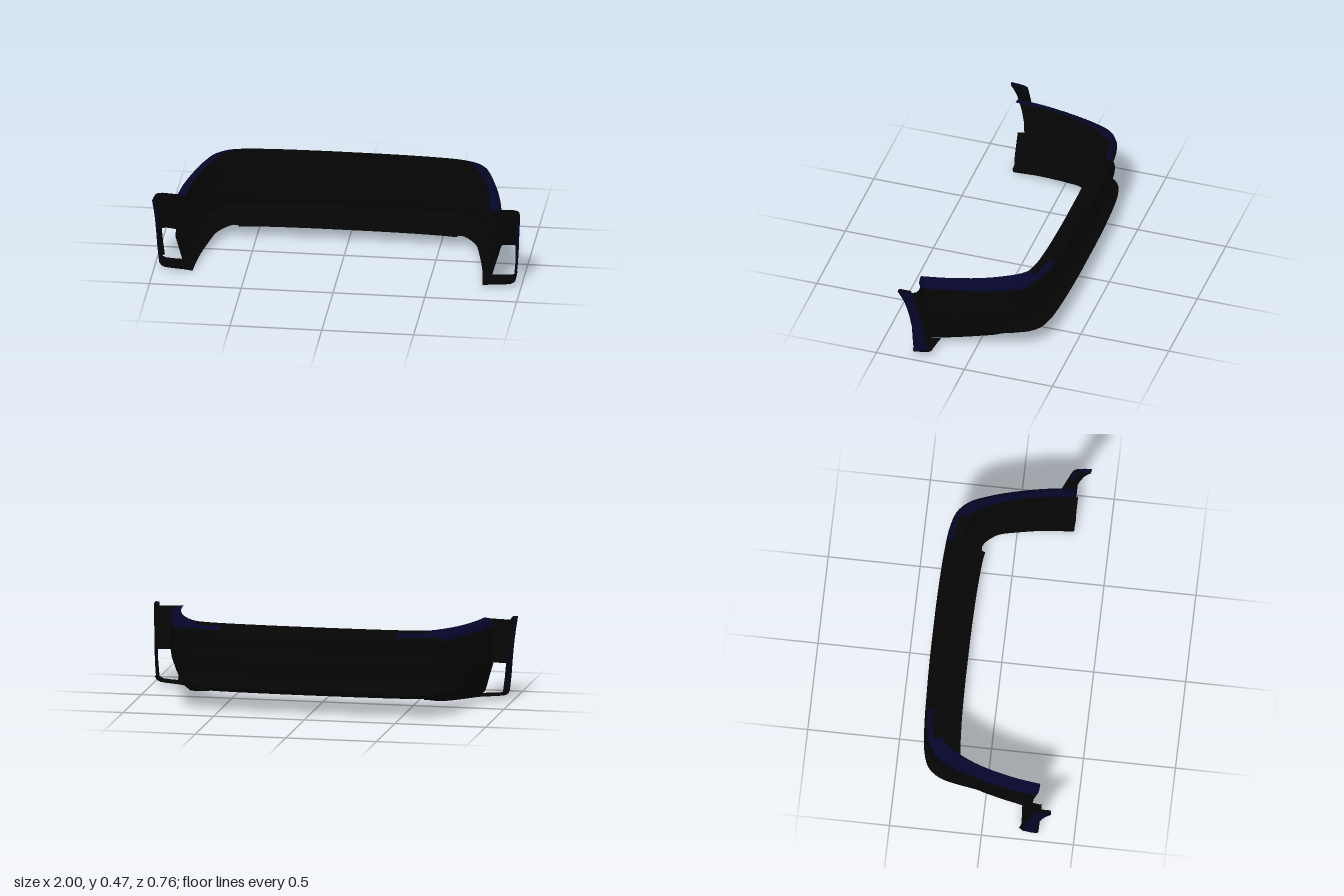
import * as THREE from 'three';

const black = new THREE.MeshStandardMaterial({ color: 0x050505, side: THREE.DoubleSide });
black.name = 'black plastic';
const navy = new THREE.MeshStandardMaterial({ color: 0x06062b, side: THREE.DoubleSide });
navy.name = 'navy paint';

// Smooth sheet through rows of points; isNavy(i, j) picks the painted quads
function sheet(name, rows, isNavy) {
  const n = rows[0].length;
  const dark = [], painted = [];
  for (let i = 0; i < rows.length - 1; i++) {
    for (let j = 0; j < n - 1; j++) {
      const a = i * n + j, b = a + 1, c = a + n, d = c + 1;
      (isNavy(i, j) ? painted : dark).push(a, c, b, b, c, d);
    }
  }
  const geo = new THREE.BufferGeometry();
  geo.setAttribute('position', new THREE.Float32BufferAttribute(rows.flat(2), 3));
  geo.setIndex([...dark, ...painted]);
  geo.addGroup(0, dark.length, 0);
  geo.addGroup(dark.length, painted.length, 1);
  geo.computeVertexNormals();
  const mesh = new THREE.Mesh(geo, [black, navy]);
  mesh.name = name;
  return mesh;
}

const { lerp, smoothstep, clamp } = THREE.MathUtils;

// Half plan of the outer edge, from the middle to the end of the arm: x, z
const PLAN = [[0.2, -0.38], [0.45, -0.371], [0.6, -0.355], [0.69, -0.325], [0.75, -0.265],
  [0.795, -0.16], [0.84, 0], [0.872, 0.15], [0.89, 0.305]];

// Middle section from bottom edge to top lip: inset from the plan, height
const MIDDLE = [[0.2, 0.07], [0.1, 0.093], [0.01, 0.125], [0, 0.133], [0.012, 0.141], [0.07, 0.157],
  [0.05, 0.215], [0.02, 0.275], [0.033, 0.31], [0.023, 0.375], [0.008, 0.42],
  [0.016, 0.447], [0.045, 0.462], [0.09, 0.47]];
// Arm section: inset, height, how far the end is cut back
const ARM = [[0.1, 0, 0.012], [0.075, 0.018, 0.008], [0.058, 0.032, 0.004], [0.053, 0.045, 0.002],
  [0.046, 0.07, 0], [0.032, 0.12, 0], [0.008, 0.2, 0], [0.003, 0.215, 0.07], [0, 0.27, 0.055],
  [0, 0.34, 0.035], [0, 0.405, 0.02], [0.01, 0.427, 0.01], [0.03, 0.437, 0.008], [0.06, 0.44, 0.01]];

function bumperShell() {
  const mirrored = PLAN.map(([x, z]) => [-x, z]).reverse();
  const curve = new THREE.CatmullRomCurve3(
    [...mirrored, [0, -0.381], ...PLAN].map(([x, z]) => new THREE.Vector3(x, 0, z)));
  const rows = [];
  const steps = 120;
  for (let i = 0; i <= steps; i++) {
    const p = curve.getPointAt(i / steps), t = curve.getTangentAt(i / steps);
    const bottomShape = smoothstep(p.z, -0.385, -0.1);
    const sideShape = smoothstep(p.z, -0.36, 0.02);
    const drop = clamp((p.z + 0.25) / 0.55, 0, 1);
    const atEnd = smoothstep(p.z, 0.12, 0.305);
    rows.push(MIDDLE.map(([inset, y], k) => {
      const [armInset, armY, cut] = ARM[k];
      const d = lerp(inset, armInset, k < 2 ? bottomShape : sideShape);
      return [p.x - t.z * d, lerp(y, armY, drop), p.z + t.x * d - cut * atEnd];
    }));
  }
  // Painted upper lip on the arms, tapering out past the corners
  const paintFrom = { 10: 0.72, 11: 0.5, 12: 0.66 };
  return sheet('bumperShell', rows, (i, j) => Math.abs(rows[i][3][0]) > (paintFrom[j] ?? Infinity));
}

// Wheel arch edge: height, x, front z, back z
const ARCH = [[0.44, 1, 0.38, 0.3], [0.41, 0.999, 0.362, 0.293], [0.38, 0.997, 0.345, 0.285],
  [0.33, 0.993, 0.328, 0.273], [0.28, 0.99, 0.315, 0.261], [0.21, 0.986, 0.303, 0.245],
  [0.13, 0.981, 0.3, 0.232], [0.045, 0.972, 0.297, 0.22]];
// Bottom bridge under the opening: x, height
const BRIDGE = [[0.79, 0], [0.84, 0.006], [0.9, 0.01], [0.94, 0.014], [0.962, 0.025], [0.972, 0.045]];

function archEnd(side) {
  const end = new THREE.Group();
  end.name = side > 0 ? 'leftArchEnd' : 'rightArchEnd';
  const none = () => false;

  // Painted strip around the wheel opening, with a folded front edge
  end.add(sheet('archStrip', ARCH.map(([y, x, zf, zb]) => {
    const fold = 0.012 + 0.035 * Math.max(0, y - 0.1);
    return [[side * (x - fold), y, zb + 0.01], [side * (x - fold), y, zf - 0.004], [side * x, y, zf],
      [side * (x - 0.002), y, (zf + zb) / 2], [side * (x - 0.008), y, zb]];
  }), (i, j) => j > 0));

  // Closing panel between arm and strip, above the opening
  end.add(sheet('closingPanel', ARCH.slice(0, 6).map(([y, x, , zb]) =>
    [[side * (x - 0.008), y, zb], [side * (x - 0.02), y, zb - 0.02],
      [side * (x - 0.045), y, zb - 0.028], [side * (y > 0.43 ? 0.84 : 0.885), y, zb - 0.014]]), none));

  // Return lip on the inside of the strip, beside the opening
  end.add(sheet('stripReturn', ARCH.slice(5).map(([y, x, , zb]) =>
    [[side * (x - 0.008), y, zb], [side * (x - 0.02), y, zb - 0.02]]), none));

  // Bridge joining the strip foot to the arm
  end.add(sheet('bottomBridge', BRIDGE.map(([x, y], i) => {
    const back = 0.2 + 0.004 * i;
    return [[side * x, y + 0.018, 0.306], [side * x, y, 0.3], [side * x, y + 0.017, back]];
  }), none));
  return end;
}

export function createModel() {
  const model = new THREE.Group();
  model.name = 'rearBumper';
  model.add(bumperShell(), archEnd(1), archEnd(-1));
  return model;
}
